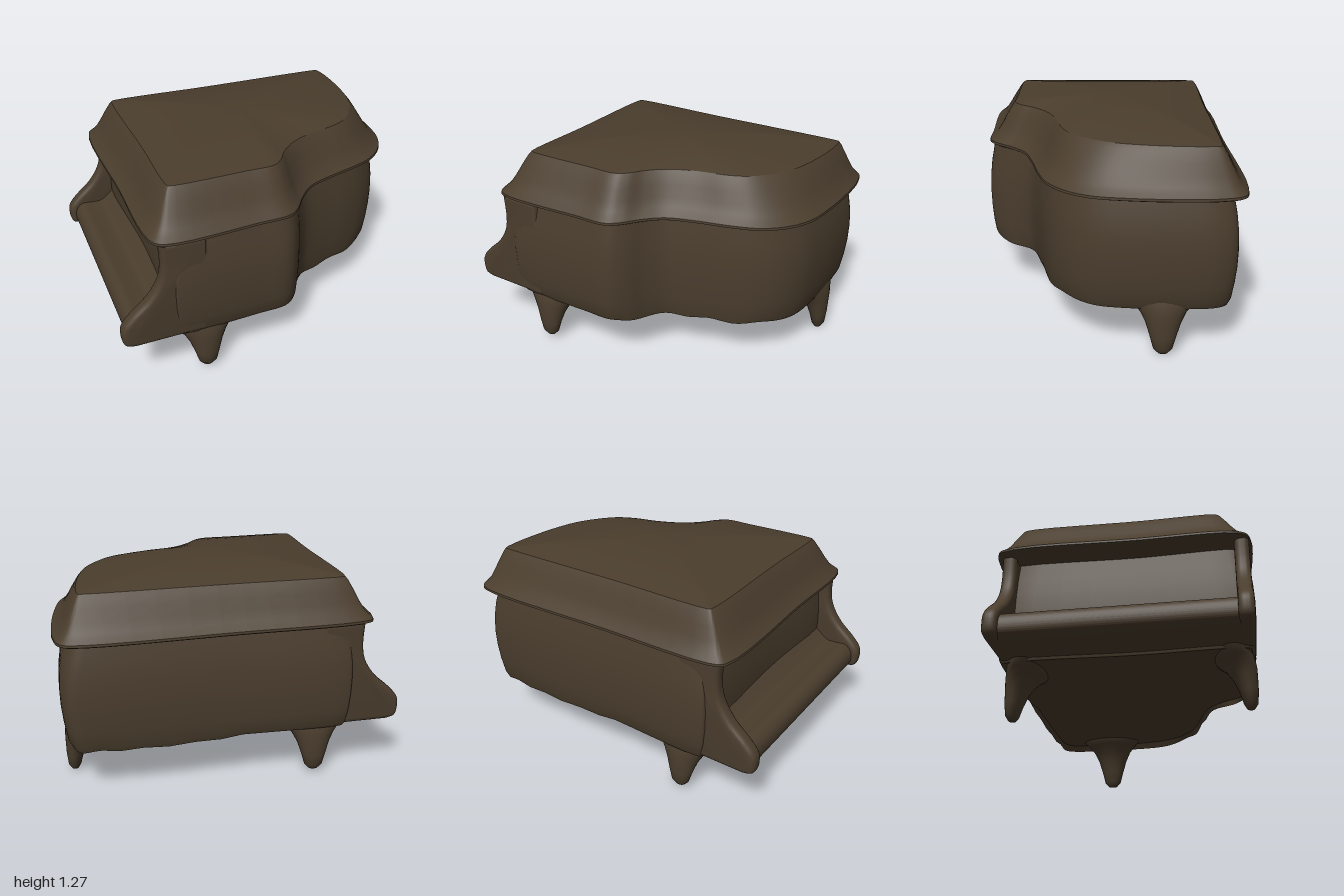
import * as THREE from 'three';
import { toCreasedNormals } from 'three/addons/utils/BufferGeometryUtils.js';

const SEGMENTS = 120;
const wood = new THREE.MeshStandardMaterial({ color: 0x4a3d2d });
wood.name = 'dark brown wood';

// Plan outlines as [x, z], running along the back, right, curved side, front, left
const RIM = [
  [-0.8, -0.68], [-0.74, -0.72], [0, -0.74], [0.82, -0.755], [0.94, -0.72], [0.98, -0.6],
  [0.99, -0.4], [0.975, -0.12], [0.94, 0.08], [0.86, 0.22], [0.74, 0.32], [0.6, 0.375],
  [0.4, 0.43], [0.24, 0.49], [0.14, 0.58], [0.06, 0.68], [-0.01, 0.73], [-0.2, 0.74],
  [-0.72, 0.75], [-0.79, 0.7], [-0.81, 0.1],
];
const TOP = [
  [-0.65, -0.59], [-0.64, -0.6], [0, -0.6], [0.81, -0.605], [0.83, -0.6], [0.84, -0.55],
  [0.84, -0.42], [0.815, -0.2], [0.77, -0.03], [0.7, 0.09], [0.61, 0.19], [0.5, 0.245],
  [0.32, 0.29], [0.17, 0.36], [0.08, 0.44], [0.02, 0.52], [-0.04, 0.565], [-0.2, 0.57],
  [-0.64, 0.57], [-0.65, 0.56], [-0.65, 0.1],
];
const BODY = [
  [-0.69, -0.7], [-0.66, -0.715], [0, -0.715], [0.8, -0.72], [0.91, -0.7], [0.955, -0.62],
  [0.97, -0.4], [0.955, -0.12], [0.92, 0.06], [0.84, 0.2], [0.72, 0.3], [0.58, 0.36],
  [0.4, 0.41], [0.24, 0.47], [0.15, 0.56], [0.08, 0.67], [0, 0.74], [-0.2, 0.75],
  [-0.66, 0.75], [-0.69, 0.74], [-0.69, 0.1],
];

function outline(points) {
  const curve = new THREE.CatmullRomCurve3(
    points.map(([x, z]) => new THREE.Vector3(x, 0, z)), true, 'centripetal');
  return Array.from({ length: SEGMENTS }, (_, i) => curve.getPoint(i / SEGMENTS));
}

// Skin over closed rings of equal count, given from bottom to top
function loft(rings, crease = 0.6) {
  const n = rings[0].length, positions = [], index = [];
  rings.forEach(ring => ring.forEach(p => positions.push(p.x, p.y, p.z)));
  for (let r = 0; r < rings.length - 1; r++) {
    for (let i = 0; i < n; i++) {
      const a = r * n + i, b = r * n + (i + 1) % n;
      index.push(a, a + n, b, b, a + n, b + n);
    }
  }
  const geometry = new THREE.BufferGeometry();
  geometry.setAttribute('position', new THREE.Float32BufferAttribute(positions, 3));
  geometry.setIndex(index);
  return toCreasedNormals(geometry, crease);
}

function part(name, geometry) {
  const mesh = new THREE.Mesh(geometry, wood);
  mesh.name = name;
  return mesh;
}

// Bulging case with a slightly wavy lower edge on the curved side
function makeBody() {
  const base = outline(BODY);
  const ring = (y, s, drop = 0) => base.map(p => new THREE.Vector3(
    p.x * s, y - drop * THREE.MathUtils.smoothstep(p.x, 0, 0.15) * (1 + 0.3 * Math.sin(p.x * 22)), p.z * s));
  return part('body', loft([
    ring(0.32, 0.001), ring(0.32, 0.93), ring(0.315, 0.955, 0.025), ring(0.34, 0.972, 0.015),
    ring(0.42, 0.988), ring(0.52, 0.998), ring(0.62, 1), ring(0.72, 0.994),
    ring(0.82, 0.977), ring(0.9, 0.955), ring(0.96, 0.94), ring(0.96, 0.001),
  ]));
}

// Overhanging lid: thin flange, concave slope and domed top
function makeLid() {
  const rim = outline(RIM), top = outline(TOP);
  const ring = (y, t, s = 1) => rim.map((p, i) => {
    const q = p.clone().lerp(top[i], t);
    return new THREE.Vector3(q.x * s, y - 0.013 * q.x * s, (q.z + 0.05) * s - 0.05);
  });
  const rings = [
    ring(0.935, 0.4, 0.001), ring(0.935, 0.4), ring(0.942, 0.1), ring(0.95, 0), ring(0.964, 0.01),
    ring(0.98, 0.12), ring(1.01, 0.31), ring(1.06, 0.5), ring(1.12, 0.7), ring(1.175, 0.9), ring(1.195, 1),
  ];
  for (const s of [0.9, 0.75, 0.6, 0.45, 0.3, 0.15, 0.001]) {
    rings.push(ring(1.195 + 0.07 * (1 - s * s), 1, s));
  }
  return part('lid', loft(rings, 0.45));
}

// Side profile extruded along z with rounded edges
function slab(name, draw, z0, z1, bevel) {
  const shape = new THREE.Shape();
  draw(shape);
  const geometry = new THREE.ExtrudeGeometry(shape, {
    depth: z1 - z0 - 2 * bevel, curveSegments: 16, bevelEnabled: bevel > 0,
    bevelSize: bevel, bevelThickness: bevel, bevelOffset: -bevel, bevelSegments: 4,
  });
  geometry.translate(0, 0, z0 + bevel);
  return part(name, toCreasedNormals(geometry, 0.7));
}

function armProfile(s) {
  s.moveTo(-0.5, 0.325);
  s.lineTo(-0.5, 0.955);
  s.lineTo(-0.76, 0.955);
  s.splineThru([[-0.755, 0.82], [-0.775, 0.72], [-0.84, 0.62], [-0.94, 0.53], [-0.99, 0.47],
    [-1, 0.41], [-0.985, 0.35], [-0.93, 0.33]].map(p => new THREE.Vector2(...p)));
  s.lineTo(-0.5, 0.325);
}

// Sloping shelf that ends in a rolled lip
function shelfProfile(s) {
  s.moveTo(-0.6, 0.33);
  s.lineTo(-0.6, 0.56);
  s.lineTo(-0.7, 0.55);
  s.splineThru([[-0.78, 0.49], [-0.84, 0.485], [-0.91, 0.49], [-0.95, 0.46], [-0.965, 0.41],
    [-0.955, 0.36], [-0.91, 0.335]].map(p => new THREE.Vector2(...p)));
  s.lineTo(-0.6, 0.33);
}

// Tapered leg, flared at the top; its outer face looks along local +z
function makeLeg(name, x, z, turn, foot) {
  const sections = [ // height, half width, inner depth, outer depth
    [0, 0.001, -0.045, -0.044], [0.006, 0.03, -0.065, -0.02], [0.035, 0.055, -0.08, -0.003],
    [0.11, 0.075, -0.1, 0.004], [0.19, 0.1, -0.13, 0.005], [0.25, 0.13, -0.165, 0.005],
    [0.29, 0.165, -0.2, 0], [0.33, 0.21, -0.24, -0.01], [0.4, 0.22, -0.24, -0.03],
  ];
  const rings = sections.map(([h, w, inner, outer]) => Array.from({ length: 28 }, (_, i) => {
    const a = (i / 28) * Math.PI * 2;
    return new THREE.Vector3(-Math.cos(a) * w, foot + h * (1 - foot / 0.4),
      (inner + outer) / 2 - Math.sin(a) * (outer - inner) / 2);
  }));
  const leg = part(name, loft(rings, 1));
  leg.position.set(x, 0, z);
  leg.rotation.y = turn;
  return leg;
}

export function createModel() {
  const model = new THREE.Group();
  model.name = 'piano';
  model.add(
    makeBody(),
    makeLid(),
    slab('frontArm', armProfile, 0.655, 0.74, 0.03),
    slab('backArm', armProfile, -0.69, -0.605, 0.03),
    slab('keyShelf', shelfProfile, -0.63, 0.69, 0),
    makeLeg('frontLeg', -0.5, 0.735, 0, 0.025),
    makeLeg('backLeg', -0.5, -0.685, Math.PI, 0.025),
    makeLeg('rightLeg', 0.955, -0.32, Math.PI / 2, 0),
  );
  return model;
}
